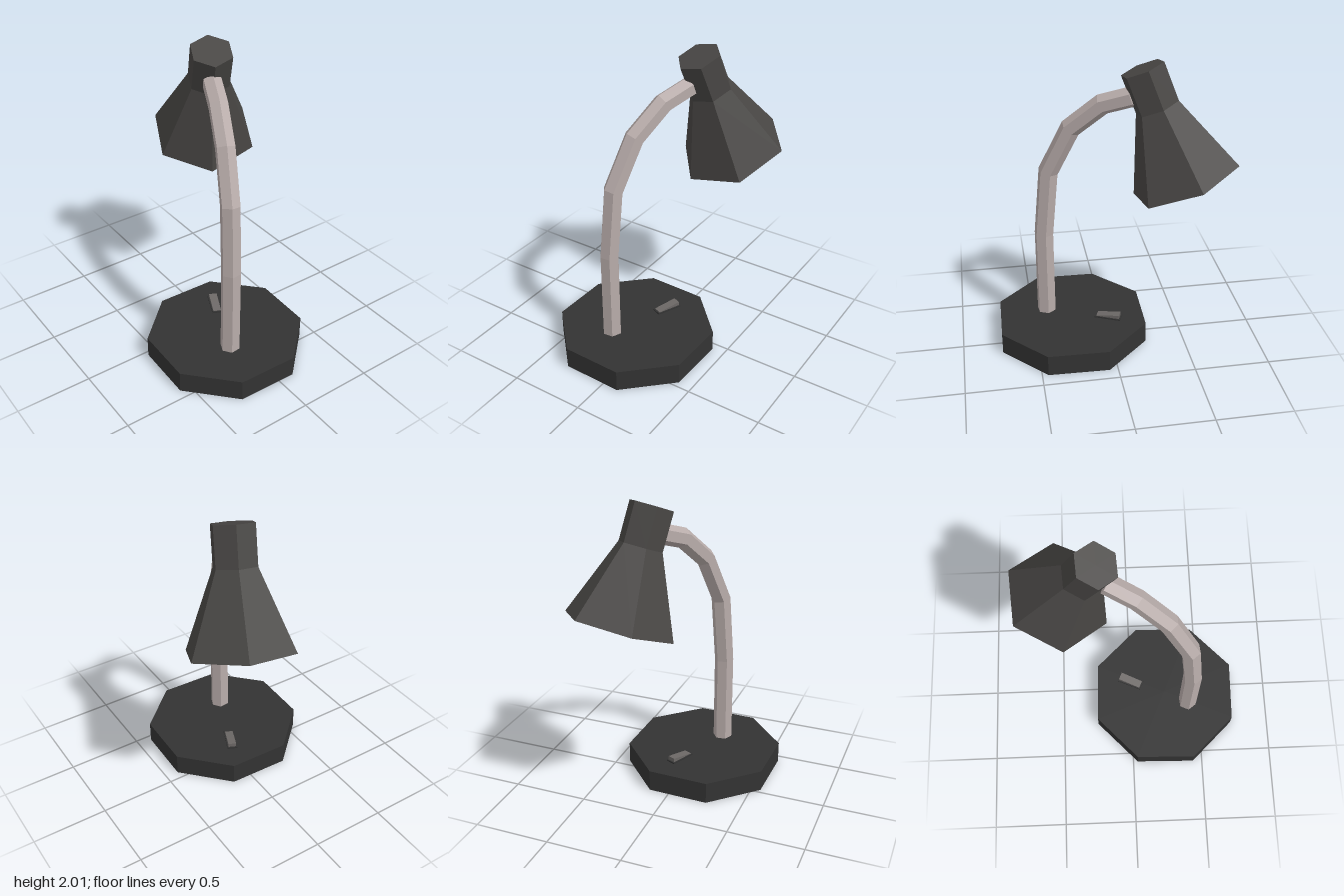
import * as THREE from 'three';

const material = (color) => new THREE.MeshStandardMaterial({ color, flatShading: true });

function addMesh(parent, name, geometry, mat) {
  const mesh = new THREE.Mesh(geometry, mat);
  mesh.name = name;
  parent.add(mesh);
  return mesh;
}

// Hexagonal tube that follows points in the XY plane, with mitred joints
function bentTube(points, radius) {
  const rows = points.length - 1;
  const geometry = new THREE.CylinderGeometry(radius, radius, 1, 6, rows, false, Math.PI / 2);
  const pos = geometry.attributes.position;
  const direction = (i) => points[i + 1].clone().sub(points[i]).normalize();
  for (let v = 0; v < pos.count; v++) {
    const i = Math.round((pos.getY(v) + 0.5) * rows);
    const before = direction(Math.max(i - 1, 0));
    const after = direction(Math.min(i, rows - 1));
    const tangent = before.clone().add(after).normalize();
    const offset = pos.getX(v) / tangent.dot(before);
    pos.setXYZ(v, points[i].x + tangent.y * offset, points[i].y - tangent.x * offset, pos.getZ(v));
  }
  geometry.computeVertexNormals();
  return geometry;
}

// Side profile extruded across z, centred
function slab(profile, width) {
  const shape = new THREE.Shape(profile.map(([x, y]) => new THREE.Vector2(x, y)));
  return new THREE.ExtrudeGeometry(shape, { depth: width, bevelEnabled: false }).translate(0, 0, -width / 2);
}

export function createModel() {
  const lamp = new THREE.Group();
  lamp.name = 'deskLamp';
  const dark = material(0x333333);
  const shadeGrey = material(0x484644);
  const metal = material(0xb8acaa);
  const armTurn = -0.42;

  // Octagonal base
  const base = addMesh(lamp, 'base', new THREE.CylinderGeometry(0.528, 0.528, 0.145, 8, 1, false, 0.367), dark);
  base.position.set(0.245, 0.0725, 0.08);

  // Arched neck
  const path = [[0, 0.14], [0, 0.75], [-0.044, 1.21], [-0.2, 1.525], [-0.407, 1.703], [-0.6, 1.77]]
    .map(([x, y]) => new THREE.Vector2(x, y));
  const neck = addMesh(lamp, 'neck', bentTube(path, 0.065), metal);
  neck.position.set(0.41, 0, 0.16);
  neck.rotation.y = armTurn;

  // Hollow hexagonal shade, profile from the inner ceiling round the rim to the cap
  const profile = [[0, 0.5], [0.11, 0.5], [0.318, 0], [0.353, 0], [0.141, 0.5], [0.141, 0.751], [0, 0.751]]
    .map(([x, y]) => new THREE.Vector2(x, y));
  const shade = addMesh(lamp, 'shade', new THREE.LatheGeometry(profile, 6), shadeGrey);
  const axis = new THREE.Vector3(0.26, 0.695, 0.115).normalize();
  const side = new THREE.Vector3().crossVectors(axis, new THREE.Vector3(-0.298, 0.133, -0.135)).normalize();
  const corner = new THREE.Vector3().crossVectors(side, axis);
  shade.quaternion.setFromRotationMatrix(new THREE.Matrix4().makeBasis(side, axis, corner));
  shade.position.set(-0.446, 1.257, -0.23);

  // Rocker switch on the base, in line with the neck
  const toggle = new THREE.Group();
  toggle.name = 'switch';
  toggle.position.set(0, 0, -0.01);
  toggle.rotation.y = armTurn;
  lamp.add(toggle);
  addMesh(toggle, 'switchPlate', slab([[-0.09, 0.14], [0.09, 0.14], [0.09, 0.154], [-0.09, 0.154]], 0.07), dark);
  addMesh(toggle, 'switchRocker',
    slab([[-0.08, 0.15], [0.08, 0.15], [0.08, 0.157], [0, 0.169], [-0.08, 0.18]], 0.054), material(0x6c6866));

  return lamp;
}
